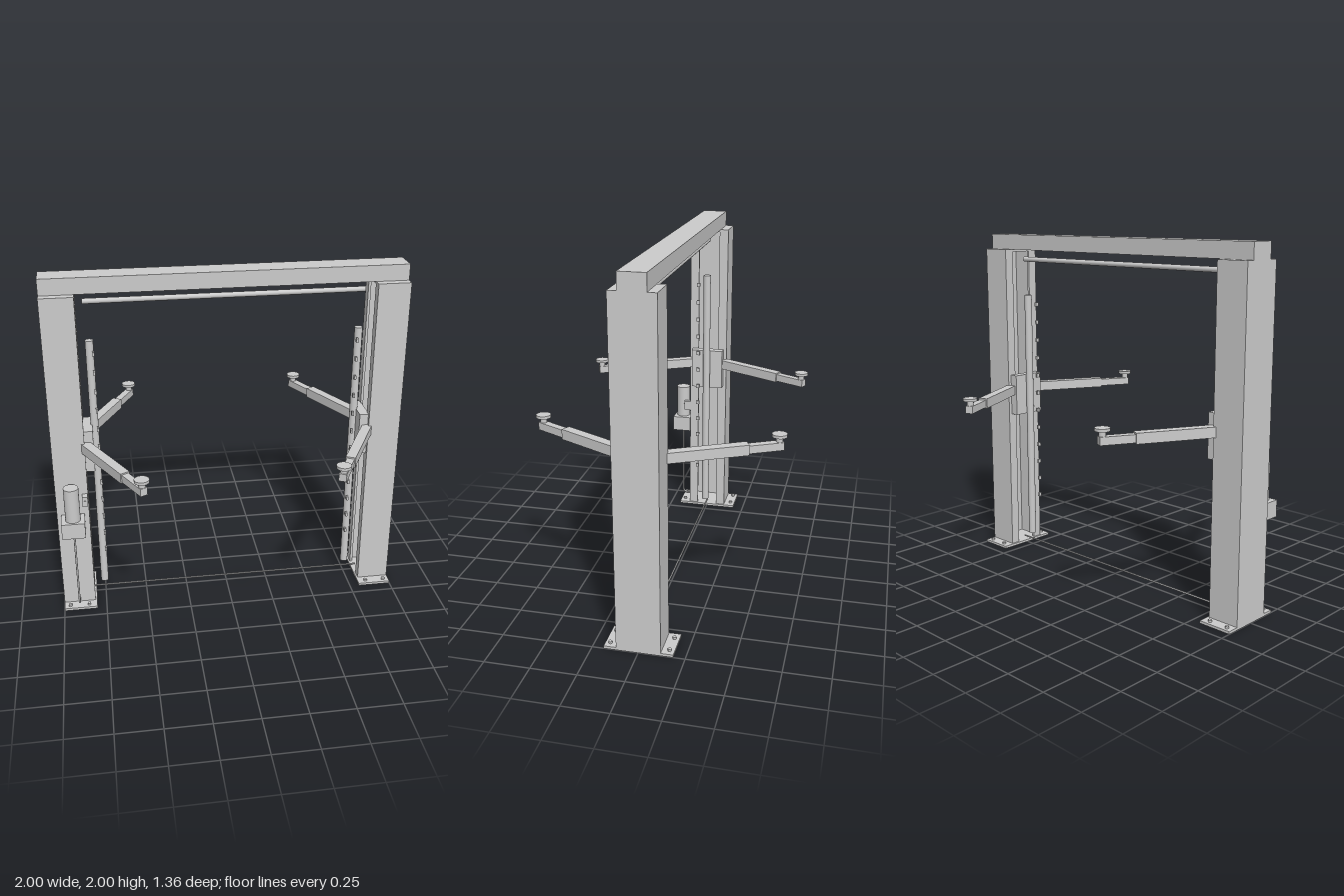
import * as THREE from 'three';

const material = new THREE.MeshStandardMaterial({ color: 0xcccccc });

function add(parent, name, geometry, x = 0, y = 0, z = 0) {
  const mesh = new THREE.Mesh(geometry, material);
  mesh.name = name;
  mesh.position.set(x, y, z);
  parent.add(mesh);
  return mesh;
}

// Box given by its minimum and maximum on each axis
function block(parent, name, x0, x1, y0, y1, z0, z1) {
  return add(parent, name, new THREE.BoxGeometry(x1 - x0, y1 - y0, z1 - z0),
    (x0 + x1) / 2, (y0 + y1) / 2, (z0 + z1) / 2);
}

function rod(parent, name, radius, y0, y1, x, z, sides = 24) {
  return add(parent, name, new THREE.CylinderGeometry(radius, radius, y1 - y0, sides), x, (y0 + y1) / 2, z);
}

// Lipped channel section, open toward the other post
function columnGeometry() {
  const t = 0.015, lip = 0.065;
  const s = new THREE.Shape([
    [1, -0.12], [1, 0.12], [0.815, 0.12], [0.815, lip], [0.815 + t, lip], [0.815 + t, 0.12 - t],
    [1 - t, 0.12 - t], [1 - t, t - 0.12], [0.815 + t, t - 0.12], [0.815 + t, -lip], [0.815, -lip], [0.815, -0.12],
  ].map(([x, z]) => new THREE.Vector2(x, z)));
  return new THREE.ExtrudeGeometry(s, { depth: 1.88, bevelEnabled: false }).rotateX(-Math.PI / 2);
}

// Telescopic arm running along local +z from its pivot, with a lifting pad
function makeArm() {
  const arm = new THREE.Group();
  arm.name = 'liftArm';
  block(arm, 'outerArm', -0.0275, 0.0275, 1.007, 1.064, -0.02, 0.425);
  block(arm, 'innerArm', -0.021, 0.021, 1.013, 1.056, 0.3, 0.615);
  rod(arm, 'padStem', 0.018, 1.05, 1.086, 0, 0.595);
  rod(arm, 'liftPad', 0.04, 1.084, 1.1, 0, 0.595, 32);
  return arm;
}

// One post with everything attached to it, built at +x; the other is turned half round
function makePost() {
  const post = new THREE.Group();
  post.name = 'post';
  block(post, 'basePlate', 0.805, 1, 0, 0.015, -0.187, 0.187);
  for (const x of [0.853, 0.965])
    for (const z of [-0.16, 0.16]) rod(post, 'anchorBolt', 0.011, 0.015, 0.027, x, z, 6);
  add(post, 'column', columnGeometry(), 0, 0.015, 0);
  block(post, 'columnCap', 0.815, 1, 1.895, 1.91, -0.12, 0.12);

  // Lifting cylinder and carriage
  rod(post, 'liftCylinder', 0.0225, 0.08, 1.63, 0.7525, 0);
  block(post, 'carriage', 0.765, 0.82, 0.88, 1.13, -0.1, 0.1);

  for (const side of [1, -1]) {
    const arm = makeArm();
    arm.position.set(0.805, 0, side * 0.113);
    arm.rotation.y = Math.atan2(-0.275, side * 0.527);
    post.add(arm);
  }
  return post;
}

export function createModel() {
  const model = new THREE.Group();
  model.name = 'twoPostLift';

  const left = makePost();
  left.name = 'leftPost';
  const right = makePost();
  right.name = 'rightPost';
  right.rotation.y = Math.PI;
  model.add(left, right);

  // Safety lock teeth beside each lifting cylinder
  for (const side of [1, -1])
    for (let i = 0; i < 12; i++) {
      const y = 0.33 + i * 0.1127, x = side * 0.734;
      block(model, 'lockTooth', x - 0.006, x + 0.006, y - 0.012, y + 0.012, 0.042, 0.062);
    }

  // Overhead beam, shut-off bar and floor cable
  block(model, 'topBeam', -1, 1, 1.91, 2, -0.072, 0.072);
  add(model, 'shutoffBar', new THREE.CylinderGeometry(0.015, 0.015, 1.555, 20).rotateZ(Math.PI / 2), 0, 1.85, 0);
  add(model, 'floorCable', new THREE.CylinderGeometry(0.005, 0.005, 1.66, 10).rotateZ(Math.PI / 2), 0, 0.038, 0);

  // Power unit on the front of the right post
  const power = new THREE.Group();
  power.name = 'powerUnit';
  model.add(power);
  block(power, 'oilTank', -0.975, -0.842, 0.53, 0.625, 0.128, 0.242);
  rod(power, 'motor', 0.043, 0.625, 0.83, -0.908, 0.187, 32);
  block(power, 'motorBracket', -0.935, -0.88, 0.54, 0.61, 0.115, 0.135);
  block(power, 'controlBox', -0.85, -0.818, 0.69, 0.75, 0.118, 0.162);
  add(power, 'button', new THREE.CylinderGeometry(0.006, 0.006, 0.008, 16).rotateX(Math.PI / 2), -0.834, 0.722, 0.164);

  // Hose from the tank down and into the post
  const hose = new THREE.CurvePath();
  const v = (y, z) => new THREE.Vector3(-0.908, y, z);
  hose.add(new THREE.LineCurve3(v(0.54, 0.187), v(0.075, 0.187)));
  hose.add(new THREE.QuadraticBezierCurve3(v(0.075, 0.187), v(0.04, 0.187), v(0.04, 0.152)));
  hose.add(new THREE.LineCurve3(v(0.04, 0.152), v(0.04, 0.11)));
  add(power, 'hose', new THREE.TubeGeometry(hose, 80, 0.006, 10));

  return model;
}
